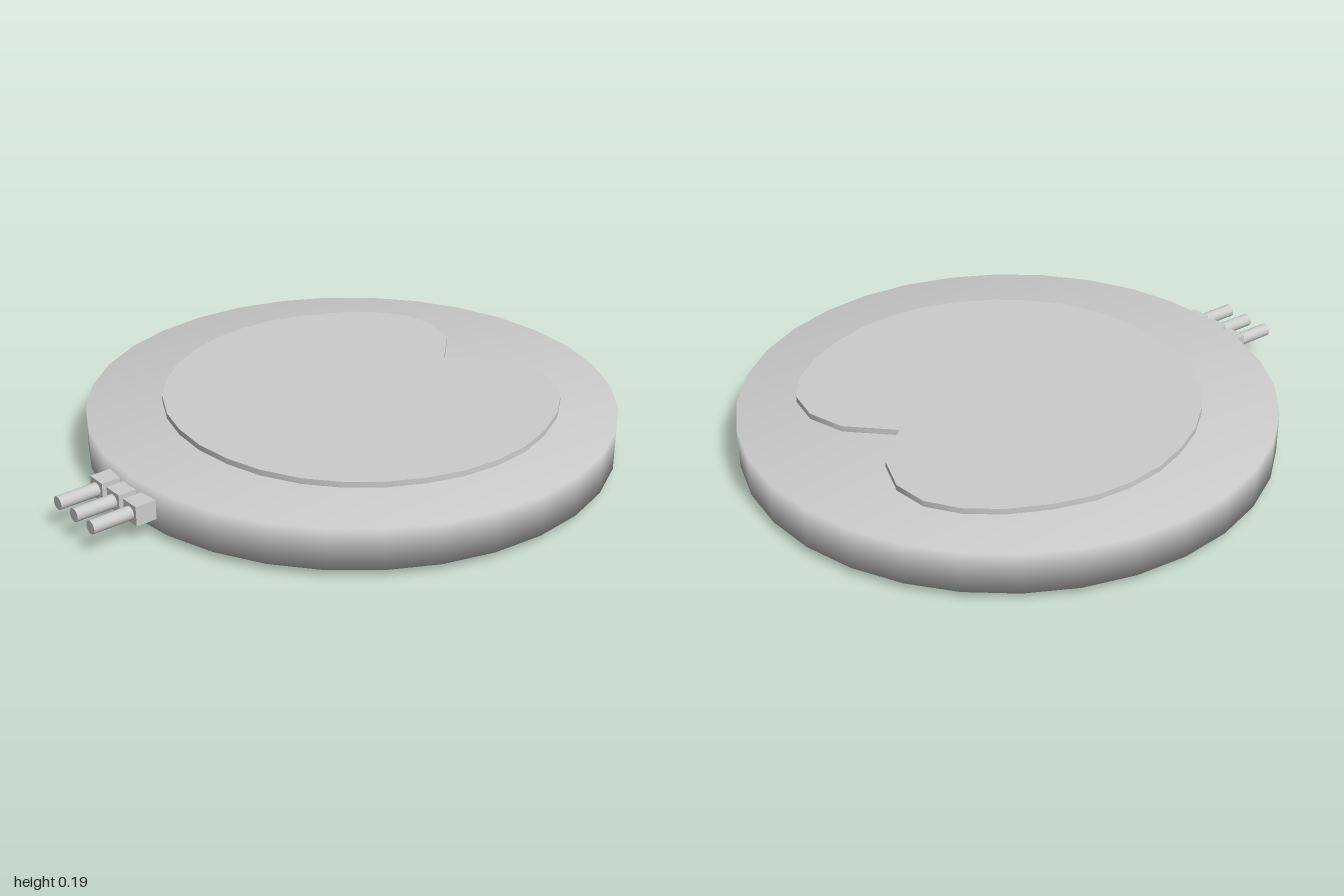
import * as THREE from 'three';
import { mergeVertices, toCreasedNormals } from 'three/addons/utils/BufferGeometryUtils.js';

const material = new THREE.MeshStandardMaterial({ color: 0xcccccc });

function add(group, name, geometry, x, y, z) {
  const mesh = new THREE.Mesh(geometry, material);
  mesh.name = name;
  mesh.position.set(x, y, z);
  group.add(mesh);
  return mesh;
}

// Weld all corners so shading runs smoothly over the rim
function welded(geometry) {
  geometry.deleteAttribute('normal');
  geometry.deleteAttribute('uv');
  const result = mergeVertices(geometry);
  result.computeVertexNormals();
  return result;
}

export function createModel() {
  const model = new THREE.Group();
  model.name = 'roundDevice';

  // Main disc
  add(model, 'disc', welded(new THREE.CylinderGeometry(0.9, 0.9, 0.14, 32)), 0, 0.095, -0.1);

  // Raised heart-shaped plate, right half mirrored to the left
  const half = [
    [0, -0.53], [0.13, -0.665], [0.26, -0.708], [0.38, -0.69], [0.48, -0.62], [0.56, -0.52],
    [0.625, -0.39], [0.665, -0.26], [0.675, -0.13], [0.66, 0], [0.62, 0.12], [0.56, 0.235],
    [0.48, 0.335], [0.38, 0.42], [0.255, 0.485], [0.13, 0.52], [0, 0.533],
  ];
  const mirrored = half.slice(1, -1).reverse().map(([x, z]) => [-x, z]);
  const outline = [...half, ...mirrored].map(([x, z]) => new THREE.Vector2(x, -z));
  const plate = new THREE.ExtrudeGeometry(new THREE.Shape(outline), { depth: 0.023, bevelEnabled: false });
  plate.rotateX(-Math.PI / 2);
  add(model, 'heartPlate', toCreasedNormals(plate, 0.6), 0, 0.162, 0);

  // Feet: three on each side, and one long pad in the middle
  for (const x of [-0.523, 0.515]) {
    for (const z of [-0.467, -0.133, 0.195]) {
      add(model, 'sidePad', new THREE.BoxGeometry(0.356, 0.03, 0.2), x, 0.015, z);
    }
  }
  add(model, 'middlePad', new THREE.BoxGeometry(0.152, 0.03, 0.405), -0.017, 0.015, 0.193);

  // Three connectors on the front rim
  for (const x of [-0.098, -0.002, 0.093]) {
    add(model, 'connectorBlock', new THREE.BoxGeometry(0.069, 0.067, 0.075), x, 0.096, 0.822);
    const pin = new THREE.CylinderGeometry(0.023, 0.023, 0.16, 16).rotateX(Math.PI / 2);
    add(model, 'connectorPin', pin, x, 0.096, 0.92);
  }

  return model;
}
